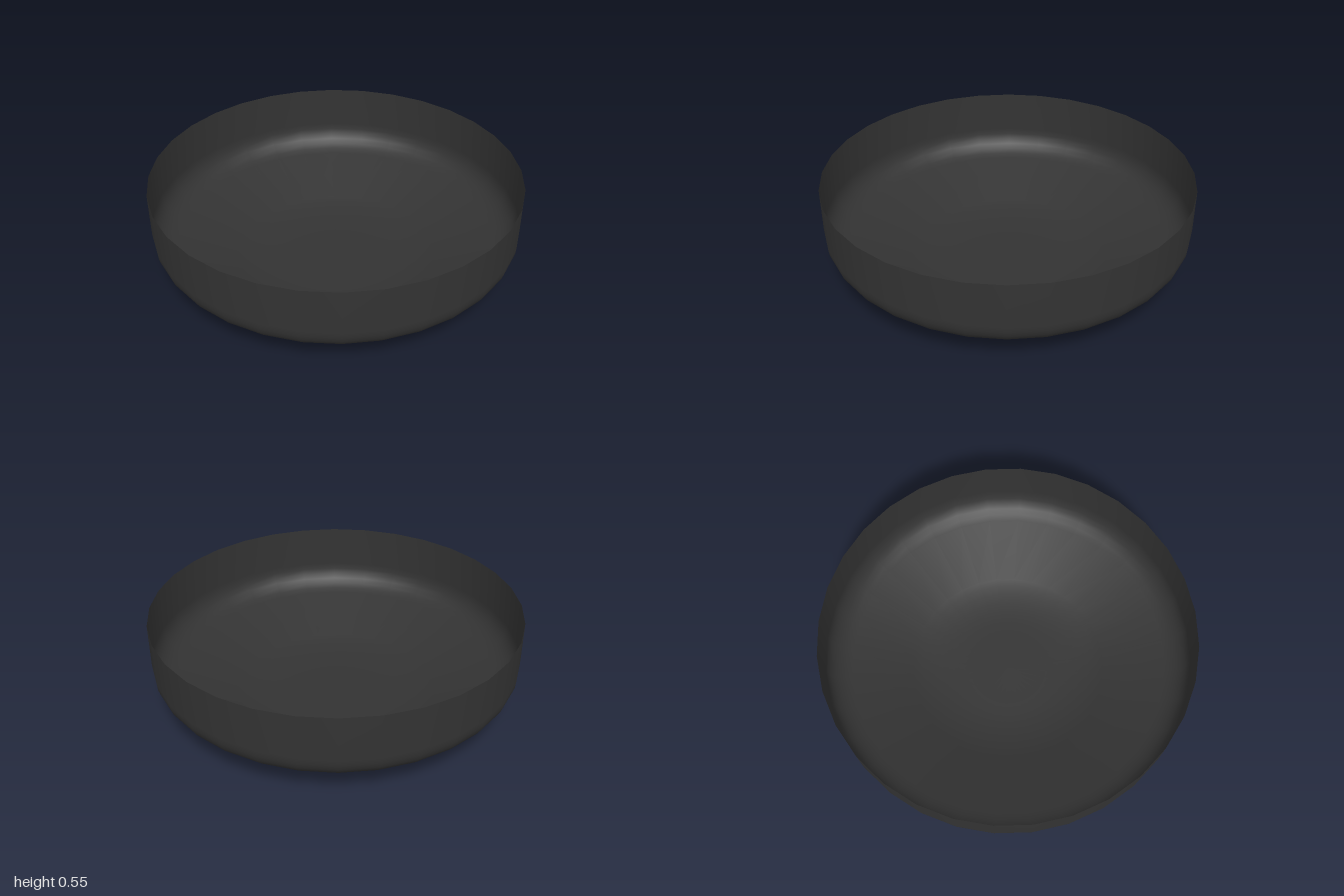
import * as THREE from 'three';

export function createModel() {
  const group = new THREE.Group();

  // Half profile: flat base, shallow sloping underside, rounded shoulder, upright wall
  const profile = new THREE.Path();
  profile.moveTo(0, 0);
  profile.lineTo(0.22, 0.002);
  profile.quadraticCurveTo(0.42, 0.002, 0.55, 0.045);
  profile.lineTo(0.88, 0.16);
  profile.quadraticCurveTo(1, 0.2, 1, 0.31);
  profile.lineTo(1, 0.55);

  // Thin open shell, visible inside and out
  const shell = new THREE.Mesh(
    new THREE.LatheGeometry(profile.getPoints(6), 32),
    new THREE.MeshStandardMaterial({ color: 0x333333, side: THREE.DoubleSide })
  );
  shell.name = 'dishShell';
  group.add(shell);

  return group;
}
